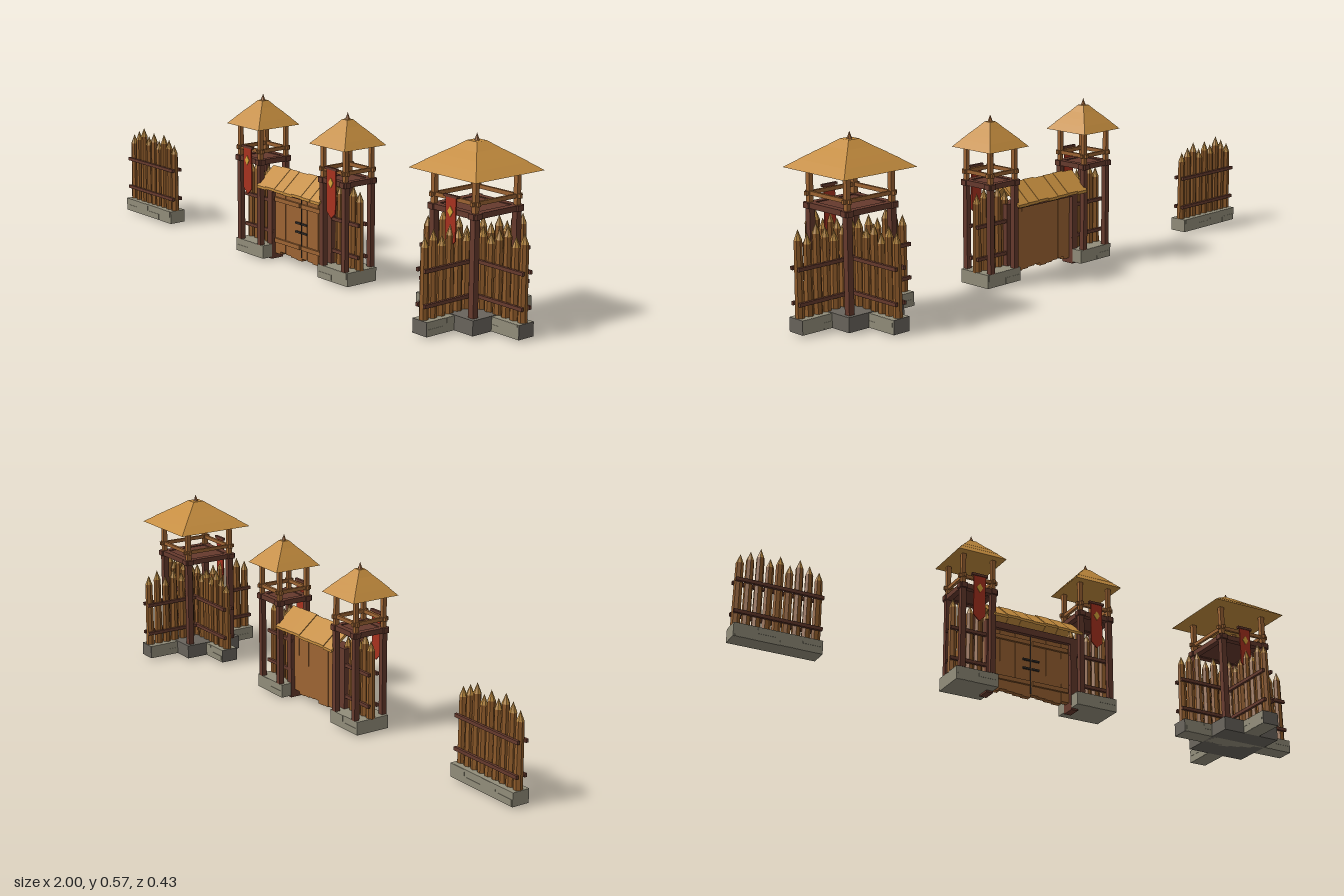
import * as THREE from 'three';

const mat = (name, color) => {
  const m = new THREE.MeshStandardMaterial({ color, flatShading: true });
  m.name = name;
  return m;
};

export function createModel() {
  const thatch = mat('thatch', 0xc48c3e), logWood = mat('log wood', 0x8f5b2a), cutWood = mat('cut wood', 0xb5853c),
    darkWood = mat('dark wood', 0x663a2d), plankWood = mat('plank wood', 0x9d6433), stone = mat('stone', 0x928d7a),
    darkStone = mat('dark stone', 0x69645c), red = mat('banner red', 0xa8321f), gold = mat('gold', 0xd8a53a),
    iron = mat('iron', 0x34302d);

  const add = (parent, name, geo, material, x = 0, y = 0, z = 0) => {
    const m = new THREE.Mesh(geo, material);
    m.name = name;
    m.position.set(x, y, z);
    parent.add(m);
    return m;
  };
  const box = (parent, name, material, w, h, d, x, y, z) =>
    add(parent, name, new THREE.BoxGeometry(w, h, d), material, x, y, z);
  const group = (parent, name, x = 0, z = 0) => {
    const g = new THREE.Group();
    g.name = name;
    g.position.set(x, 0, z);
    parent.add(g);
    return g;
  };

  // Stone footing with a few slightly raised blocks
  const footing = (parent, len, depth, material) => {
    box(parent, 'footing', material, len, 0.044, depth, 0, 0.028, 0);
    const n = Math.max(2, Math.round(len / 0.075)), step = len / n;
    for (let i = 0; i < n; i++) {
      const y = i % 2 ? 0.039 : 0.017;
      box(parent, 'footingBlock', material, step * 0.85, 0.021, depth + 0.002, -len / 2 + step * (i + 0.5), y, 0);
    }
  };

  // Row of sharpened logs along x with rails on both faces
  const heights = [0.288, 0.305, 0.321, 0.296, 0.312, 0.29, 0.316, 0.302];
  const palisade = (parent, len, count, start = 0) => {
    for (let i = 0; i < count; i++) {
      const h = heights[(i + start) % heights.length], tip = 0.032;
      const x = count > 1 ? (i - (count - 1) / 2) * (len - 0.028) / (count - 1) : 0;
      const body = h - tip - 0.048;
      const log = add(parent, 'log', new THREE.CylinderGeometry(0.0125, 0.0145, body, 7), logWood, x, 0.048 + body / 2, 0);
      log.rotation.y = i * 0.7;
      const point = add(parent, 'logTip', new THREE.ConeGeometry(0.0125, tip, 7), cutWood, x, h - tip / 2, 0);
      point.rotation.y = i * 0.7;
    }
    for (const y of [0.093, 0.197]) for (const s of [-1, 1])
      box(parent, 'rail', darkWood, len, 0.011, 0.009, 0, y, s * 0.016);
  };

  // Layered square thatched roof with a wooden point
  const roof = (parent, eave, k, ky) => {
    const tiers = [[0, 0.138, 0.027, 0.1], [0.024, 0.106, 0.047, 0.072], [0.043, 0.079, 0.066, 0.044], [0.062, 0.05, 0.084, 0.02]];
    for (const [y0, r0, y1, r1] of tiers) {
      const h = (y1 - y0) * ky;
      const t = add(parent, 'roofTier', new THREE.CylinderGeometry(r1 * k * Math.SQRT2, r0 * k * Math.SQRT2, h, 4),
        thatch, 0, eave + y0 * ky + h / 2, 0);
      t.rotation.y = Math.PI / 4;
    }
    add(parent, 'finial', new THREE.ConeGeometry(0.009, 0.024, 6), plankWood, 0, eave + 0.084 * ky + 0.01, 0);
  };

  // Hanging banner with a pointed end and a gold diamond
  const banner = (parent, top, len, z) => {
    const w = 0.021;
    const s = new THREE.Shape([[-w, 0], [-w, -len + 0.02], [0, -len], [w, -len + 0.02], [w, 0]]
      .map(([x, y]) => new THREE.Vector2(x, y)));
    add(parent, 'banner', new THREE.ExtrudeGeometry(s, { depth: 0.004, bevelEnabled: false }), red, 0, top, z);
    const d = new THREE.Shape([[-0.011, 0], [0, -0.016], [0.011, 0], [0, 0.016]].map(([x, y]) => new THREE.Vector2(x, y)));
    add(parent, 'bannerDiamond', new THREE.ExtrudeGeometry(d, { depth: 0.002, bevelEnabled: false }), gold, 0, top - 0.045, z + 0.004);
    box(parent, 'bannerRod', darkWood, 0.056, 0.008, 0.009, 0, top, z + 0.002);
  };

  // Open lookout: four posts, platform, rails and roof
  const lookout = (parent, p, postW, deck, eave, k, ky) => {
    for (const sx of [-1, 1]) for (const sz of [-1, 1]) {
      box(parent, 'lowerPost', darkWood, postW * 1.1, deck - 0.05, postW * 1.1, sx * p, (deck + 0.05) / 2, sz * p);
      box(parent, 'upperPost', plankWood, postW * 0.85, eave - deck + 0.008, postW * 0.85, sx * p, (eave + deck + 0.008) / 2, sz * p);
    }
    box(parent, 'platform', darkWood, p * 2, 0.01, p * 2, 0, deck - 0.008, 0);
    const len = p * 2 + postW * 1.9;
    for (const s of [-1, 1]) {
      box(parent, 'deckBeam', darkWood, len, 0.017, postW * 1.2, 0, deck - 0.0085, s * p);
      box(parent, 'deckBeam', darkWood, postW * 1.2, 0.017, len, s * p, deck - 0.0085, 0);
      box(parent, 'guardRail', plankWood, len, 0.012, 0.009, 0, deck + 0.027, s * p);
      box(parent, 'guardRail', plankWood, 0.009, 0.012, len, s * p, deck + 0.027, 0);
    }
    roof(parent, eave, k, ky);
  };

  const model = new THREE.Group();
  model.name = 'palisadeSet';

  // Straight wall piece
  const wall = group(model, 'wallPiece', -0.859);
  footing(wall, 0.281, 0.06, stone);
  palisade(wall, 0.281, 9);

  // Corner tower with crossing walls
  const corner = group(model, 'cornerTower', 0.785);
  for (let a = 0; a < 2; a++) {
    const arm = group(corner, 'crossWall');
    arm.rotation.y = a * Math.PI / 2;
    footing(arm, 0.425, 0.06, stone);
    palisade(arm, 0.425, 13, a * 3);
    for (const s of [-1, 1]) box(arm, 'endStone', darkStone, 0.003, 0.044, 0.06, s * 0.2125, 0.028, 0);
  }
  box(corner, 'towerFooting', darkStone, 0.212, 0.046, 0.212, 0, 0.029, 0);
  lookout(corner, 0.084, 0.018, 0.36, 0.463, 1, 1);
  banner(corner, 0.397, 0.15, 0.096);

  // Gate with two small towers
  const gate = group(model, 'gate');
  for (const s of [-1, 1]) {
    const tower = group(gate, 'gateTower', s * 0.215);
    footing(tower, 0.146, 0.12, stone);
    palisade(tower, 0.15, 5, s + 2);
    lookout(tower, 0.053, 0.016, 0.338, 0.443, 0.62, 0.95);
    banner(tower, 0.374, 0.16, 0.063);
    box(gate, 'gatePost', darkWood, 0.024, 0.25, 0.046, s * 0.153, 0.125, 0);
  }
  box(gate, 'lintel', darkWood, 0.33, 0.022, 0.046, 0, 0.24, 0);

  // Plank doors with uneven ends
  for (let i = 0; i < 10; i++) {
    const bottom = 0.018 + (i * 7 % 4) * 0.003;
    box(gate, 'doorPlank', plankWood, 0.0275, 0.23 - bottom, i % 2 ? 0.02 : 0.018, (i - 4.5) * 0.028, (0.23 + bottom) / 2, 0);
  }
  for (const s of [-1, 1]) {
    for (const y of [0.065, 0.205]) box(gate, 'doorBrace', plankWood, 0.13, 0.014, 0.008, s * 0.07, y, 0.013);
    for (const y of [0.115, 0.145]) box(gate, 'ironStrap', iron, 0.026, 0.006, 0.006, s * 0.016, y, 0.012);
  }
  box(gate, 'doorGap', iron, 0.002, 0.2, 0.003, 0, 0.13, 0.0105);

  // Gabled thatch over the gate, laid in uneven strips
  const gable = new THREE.Shape([[-0.07, 0.247], [0, 0.302], [0.07, 0.247], [0.07, 0.256], [0, 0.314], [-0.07, 0.256]]
    .map(([x, y]) => new THREE.Vector2(x, y)));
  for (let i = 0; i < 7; i++) {
    const geo = new THREE.ExtrudeGeometry(gable, { depth: 0.0455, bevelEnabled: false });
    geo.rotateY(Math.PI / 2);
    add(gate, 'gateRoofStrip', geo, thatch, -0.16 + i * 0.0457, (i * 5 % 3) * 0.0015 - 0.001, 0);
  }
  box(gate, 'ridgePole', plankWood, 0.3, 0.01, 0.01, 0, 0.299, 0);

  return model;
}
